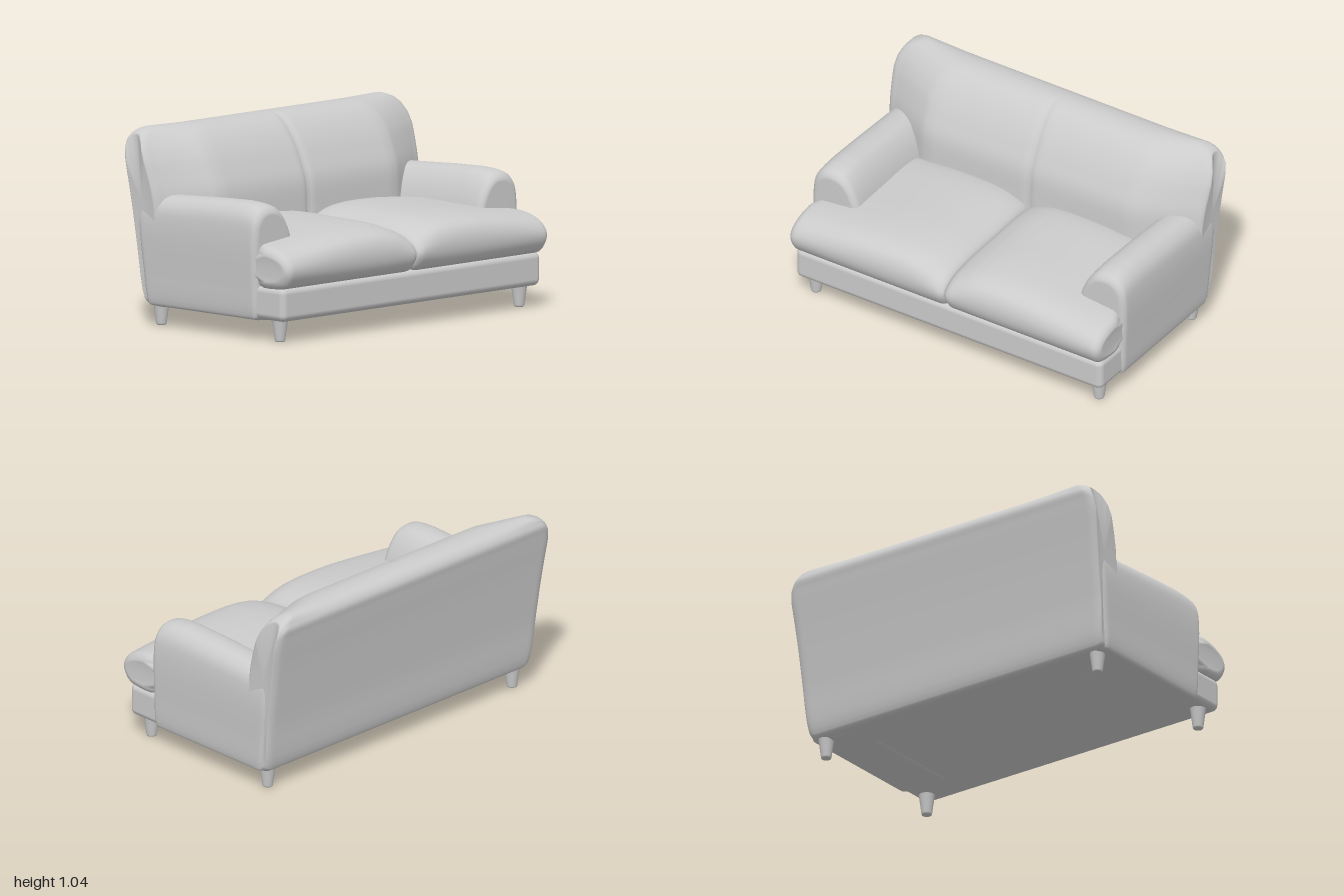
import * as THREE from 'three';
import { RoundedBoxGeometry } from 'three/addons/geometries/RoundedBoxGeometry.js';

const material = new THREE.MeshStandardMaterial({ color: 0xcccccc });

// Eased lookup in a short table of [position, value] pairs.
function lookup(table, t) {
  if (t <= table[0][0]) return table[0][1];
  for (let i = 1; i < table.length; i++) {
    const [a, va] = table[i - 1], [b, vb] = table[i];
    if (t <= b) return va + (vb - va) * (t - a) / (b - a);
  }
  return table[table.length - 1][1];
}

// Closed smooth outline through a few 2D points.
function outline(points, count) {
  const curve = new THREE.CatmullRomCurve3(points.map(([a, b]) => new THREE.Vector3(a, b, 0)), true);
  return curve.getPoints(count).slice(0, count);
}

// Moves an outline point towards the outline's centre by about r.
function inset(p, centre, half, r) {
  return [
    centre[0] + (p.x - centre[0]) * (1 - r / half[0]),
    centre[1] + (p.y - centre[1]) * (1 - r / half[1]),
  ];
}

// Skins a row of closed sections and caps both ends.
function loft(sections) {
  const n = sections[0].length, m = sections.length;
  const pts = sections.flat(), index = [];
  for (let i = 0; i < m - 1; i++) {
    for (let j = 0; j < n; j++) {
      const k = (j + 1) % n, a = i * n + j, b = i * n + k, c = a + n, d = b + n;
      index.push(a, b, d, a, d, c);
    }
  }
  [0, m - 1].forEach((i) => {
    const centre = new THREE.Vector3();
    sections[i].forEach((p) => centre.addScaledVector(p, 1 / n));
    pts.push(centre);
    for (let j = 0; j < n; j++) {
      const a = i * n + j, b = i * n + (j + 1) % n;
      index.push(pts.length - 1, ...(i ? [a, b] : [b, a]));
    }
  });
  // Turn the faces outward whichever way the sections run.
  let volume = 0;
  const cross = new THREE.Vector3();
  for (let i = 0; i < index.length; i += 3) {
    volume += pts[index[i]].dot(cross.crossVectors(pts[index[i + 1]], pts[index[i + 2]]));
  }
  if (volume < 0) index.reverse();
  const geometry = new THREE.BufferGeometry().setFromPoints(pts);
  geometry.setIndex(index);
  geometry.computeVertexNormals();
  return geometry;
}

// Stations from a to b with rounded ends: [position, inset].
function stations(a, b, r, count) {
  const list = [], steps = 6;
  for (let i = 0; i <= steps; i++) {
    const q = (i / steps) * Math.PI / 2;
    list.push([a + r * (1 - Math.sin(q)) * -1 + r, r * (1 - Math.sin(q))]);
  }
  // Rounded start, straight run, rounded end.
  const start = list.map((_, i) => {
    const q = (i / steps) * Math.PI / 2;
    return [a + r * (1 - Math.cos(q)), r * (1 - Math.sin(q))];
  });
  const end = start.map(([p, s]) => [a + b - p, s]).reverse();
  const middle = [];
  for (let i = 1; i < count; i++) middle.push([a + r + (b - a - 2 * r) * i / count, 0]);
  return [...start, ...middle, ...end];
}

// Backrest: side profile swept across, wings swept back at the ends.
function backGeometry() {
  const profile = outline([
    [-0.2, 0.13], [-0.22, 0.11], [-0.45, 0.11], [-0.475, 0.13], [-0.515, 0.4], [-0.56, 0.7],
    [-0.597, 0.92], [-0.604, 0.98], [-0.575, 1.02], [-0.5, 1.036], [-0.42, 1.018],
    [-0.36, 0.972], [-0.3, 0.895], [-0.25, 0.8], [-0.212, 0.7], [-0.2, 0.55],
  ], 96);
  const width = [[0.11, 0.96], [0.3, 0.975], [0.6, 0.984], [0.75, 0.992], [0.87, 1],
    [0.93, 0.992], [0.98, 0.97], [1.01, 0.945], [1.036, 0.9]];
  const depth = [[0.62, 1], [0.68, 0.97], [0.95, 0.58], [1, 0.54]];
  return loft(stations(-1, 1, 0.05, 96).map(([t, r]) => profile.map((p) => {
    const [z0, y] = inset(p, [-0.42, 0.58], [0.2, 0.47], r * 0.75);
    const rear = -0.46 - (y - 0.11) * 0.155;
    const seam = Math.exp(-((t / 0.018) ** 2));
    let z = rear + (z0 - rear) * (z0 > rear ? lookup(depth, Math.abs(t)) : 1);
    if (z0 > -0.45 && y > 0.4) z -= 0.014 * seam;
    return new THREE.Vector3(t * lookup(width, y), y, z);
  })));
}

// Arm: rounded section swept from front to back.
function armGeometry(side) {
  const section = outline([
    [0.955, 0.11], [0.968, 0.125], [0.98, 0.3], [0.984, 0.56], [0.967, 0.655], [0.925, 0.705],
    [0.87, 0.72], [0.8, 0.705], [0.745, 0.645], [0.7, 0.54], [0.685, 0.45], [0.68, 0.13], [0.69, 0.11],
  ], 72);
  const top = [[-0.5, 0.88], [-0.33, 0.9], [-0.2, 0.93], [0, 0.975], [0.2, 1], [0.28, 0.985], [0.33, 0.95], [0.37, 0.88]];
  return loft(stations(-0.45, 0.37, 0.035, 40).map(([z, r]) => section.map((p) => {
    let [x, y] = inset(p, [0.83, 0.41], [0.15, 0.31], r);
    if (y > 0.45) y = 0.45 + (y - 0.45) * lookup(top, z);
    const lean = z < 0 ? (z / 0.45) ** 2 * (y - 0.11) * 0.13 : 0;
    return new THREE.Vector3(side * x, y, z - lean);
  })));
}

// Seat cushion: plump section with a crown that dips at the centre seam.
function cushionGeometry(side) {
  const section = outline([
    [0.3, 0.283], [0.5, 0.283], [0.565, 0.3], [0.602, 0.355], [0.607, 0.43], [0.58, 0.492],
    [0.52, 0.53], [0.4, 0.553], [0.15, 0.563], [-0.2, 0.555], [-0.25, 0.52], [-0.26, 0.4], [-0.24, 0.29],
  ], 80);
  const crown = [[0, -0.065], [0.03, -0.054], [0.07, -0.037], [0.12, -0.02], [0.18, -0.008], [0.26, -0.001],
    [0.36, 0], [0.48, -0.003], [0.6, -0.012], [0.7, -0.021], [0.82, -0.034], [0.9, -0.042], [0.975, -0.052]];
  return loft(stations(0.001, 0.977, 0.045, 48).map(([x, r]) => section.map((p) => {
    const soft = x < 0.4 ? r * 0.55 : r;
    const [z, y] = inset(p, [0.17, 0.42], [0.43, 0.14], soft);
    const lift = THREE.MathUtils.smoothstep(y, 0.32, 0.52) * lookup(crown, x);
    // Tuck the sides in behind the front ears.
    const tuck = 1 - 0.03 * (1 - THREE.MathUtils.smoothstep(z, 0.34, 0.42));
    return new THREE.Vector3(side * x * tuck, y + lift, z);
  })));
}

export function createModel() {
  const model = new THREE.Group();
  const add = (name, geometry, x = 0, y = 0, z = 0) => {
    const mesh = new THREE.Mesh(geometry, material);
    mesh.name = name;
    mesh.position.set(x, y, z);
    model.add(mesh);
  };

  add('base', new RoundedBoxGeometry(1.925, 0.18, 1.01, 5, 0.035), 0, 0.205, 0.053);
  add('backrest', backGeometry());

  // Tapered round foot with a softened bottom edge.
  const foot = new THREE.LatheGeometry([
    [0, 0], [0.02, 0], [0.026, 0.003], [0.028, 0.01], [0.036, 0.07], [0.042, 0.11], [0.046, 0.13],
  ].map(([r, y]) => new THREE.Vector2(r, y)), 28);

  for (const side of [1, -1]) {
    const label = side > 0 ? 'left' : 'right';
    add(label + 'Arm', armGeometry(side));
    add(label + 'SeatCushion', cushionGeometry(side));
    add(label + 'FrontLeg', foot, side * 0.89, 0, 0.463);
    add(label + 'BackLeg', foot, side * 0.89, 0, -0.413);
  }
  return model;
}
